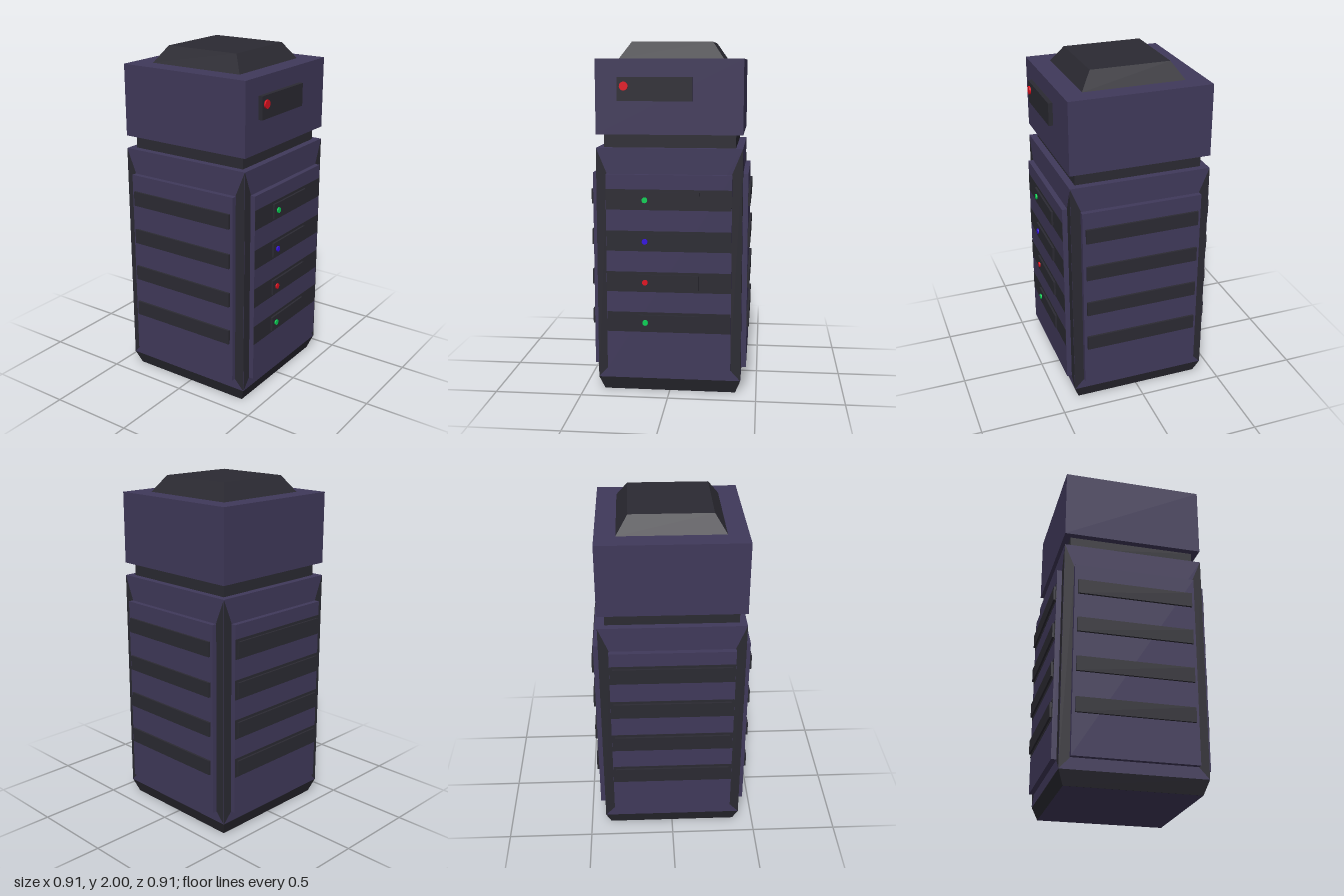
import * as THREE from 'three';

const mat = (color) => new THREE.MeshStandardMaterial({ color });

export function createModel() {
  const model = new THREE.Group();
  const purple = mat(0x40395a), dark = mat(0x2b2a32);
  const red = mat(0xe01020), green = mat(0x08d055), blue = mat(0x3410e0);
  const H = 0.41; // half width of body and head

  const add = (parent, name, geometry, material, x = 0, y = 0, z = 0) => {
    const mesh = new THREE.Mesh(geometry, material);
    mesh.name = name;
    mesh.position.set(x, y, z);
    parent.add(mesh);
    return mesh;
  };
  // Box given by its low and high corners
  const box = (parent, name, material, [x0, y0, z0], [x1, y1, z1]) =>
    add(parent, name, new THREE.BoxGeometry(x1 - x0, y1 - y0, z1 - z0), material,
      (x0 + x1) / 2, (y0 + y1) / 2, (z0 + z1) / 2);
  // Square frustum given by half widths
  const frustum = (name, material, top, bottom, y0, y1) => {
    const g = new THREE.CylinderGeometry(top * Math.SQRT2, bottom * Math.SQRT2, y1 - y0, 4, 1)
      .rotateY(Math.PI / 4).toNonIndexed();
    g.computeVertexNormals();
    return add(model, name, g, material, 0, (y0 + y1) / 2, 0);
  };
  // Round lamp facing +z
  const lamp = (parent, material, r, x, y, z, depth) =>
    add(parent, 'indicatorLight', new THREE.CylinderGeometry(r, r, depth, 20).rotateX(Math.PI / 2),
      material, x, y, z + depth / 2);

  // Central stack
  frustum('base', dark, H, 0.38, 0, 0.08);
  add(model, 'underside', new THREE.PlaneGeometry(0.76, 0.76).rotateX(Math.PI / 2), purple, 0, -0.0005, 0);
  box(model, 'body', purple, [-H, 0.08, -H], [H, 1.415, H]);
  box(model, 'neck', dark, [-0.37, 1.415, -0.37], [0.37, 1.49, 0.37]);
  box(model, 'head', purple, [-H, 1.49, -H], [H, 1.905, H]);
  frustum('cap', dark, 0.23, 0.295, 1.905, 2);

  // Dark mitred strip along one vertical edge of a face
  const strip = new THREE.Shape([[0.35, 0.145], [H, 0.08], [H, 1.415], [0.35, 1.27]]
    .map(([x, y]) => new THREE.Vector2(x, y)));
  const mirrored = new THREE.Shape(strip.getPoints().map((p) => new THREE.Vector2(-p.x, p.y)));
  const rows = [1.13, 0.895, 0.66, 0.425];
  const rowLights = [green, blue, red, green];

  // Four sides, each modelled facing +z and then turned
  ['front', 'left', 'back', 'right'].forEach((name, i) => {
    const side = new THREE.Group();
    side.name = name + 'Side';
    side.rotation.y = i * Math.PI / 2;
    model.add(side);
    for (const s of [strip, mirrored]) add(side, 'cornerStrip', new THREE.ShapeGeometry(s), dark, 0, 0, H + 0.001);
    box(side, 'panel', purple, [-0.353, 0.145, H - 0.01], [0.353, 1.27, 0.44]);
    rows.forEach((y, r) => {
      // Flush bands on the two flanks
      if (i % 2) box(side, 'band', dark, [-0.352, y - 0.058, 0.43], [0.352, y + 0.058, 0.4415]);
      // Raised slats, short and lit on the left flank
      const w = i === 1 ? 0.172 : 0.335;
      box(side, 'slat', dark, [-w, y - 0.043, 0.43], [w, y + 0.043, 0.453]);
      if (i === 1) lamp(side, rowLights[r], 0.016, -0.132, y, 0.453, 0.008);
    });
    // Control plate on the head
    if (i === 1) {
      box(side, 'headPlate', dark, [-0.285, 1.675, 0.4], [0.13, 1.805, 0.435]);
      lamp(side, red, 0.024, -0.247, 1.757, 0.435, 0.01);
    }
  });

  model.children.forEach((c) => { c.position.x -= 0.005; });
  return model;
}
